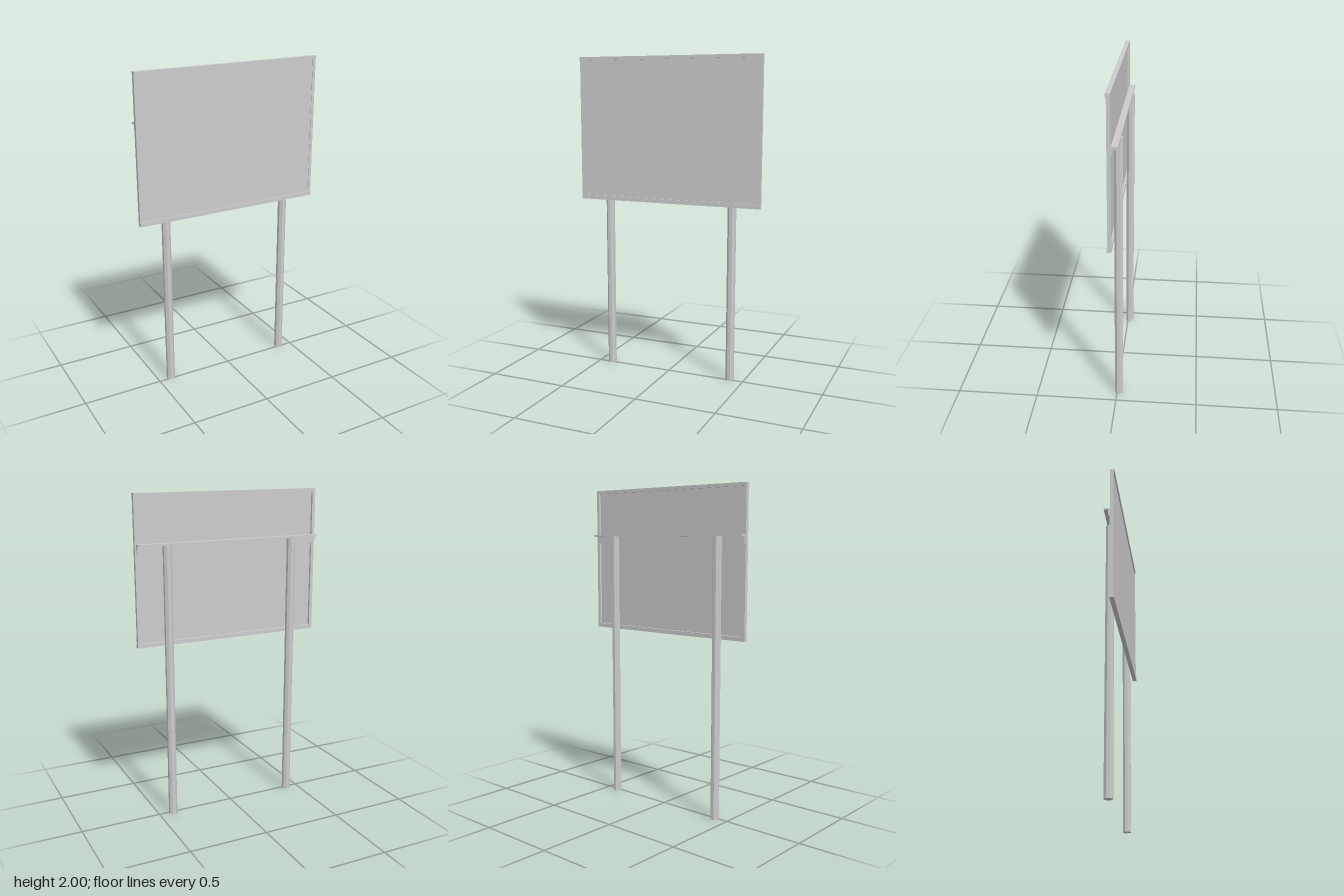
import * as THREE from 'three';

const material = new THREE.MeshStandardMaterial({ color: 0xcccccc, flatShading: true });

// Box given by its [min, max] extents on each axis
function block(name, [x0, x1], [y0, y1], [z0, z1]) {
  const mesh = new THREE.Mesh(new THREE.BoxGeometry(x1 - x0, y1 - y0, z1 - z0), material);
  mesh.position.set((x0 + x1) / 2, (y0 + y1) / 2, (z0 + z1) / 2);
  mesh.name = name;
  return mesh;
}

export function createModel() {
  const model = new THREE.Group();
  model.name = 'signboard';

  // Board: thin panel inside a shallow frame, open at the back
  const board = new THREE.Group();
  board.name = 'board';
  board.add(block('panel', [-0.59, 0.59], [1.11, 1.99], [0.024, 0.029]));
  for (const s of [-1, 1]) {
    const side = block('frameSide', [-0.01, 0.01], [1.11, 1.99], [0.01, 0.032]);
    side.position.x = s * 0.59;
    board.add(side);
  }
  board.add(block('frameTop', [-0.6, 0.6], [1.98, 2], [0.01, 0.037]));
  board.add(block('frameBottom', [-0.6, 0.6], [1.1, 1.125], [0.01, 0.037]));
  model.add(board);

  // Stand: two octagonal posts carrying an angle rail, slightly off centre
  const stand = new THREE.Group();
  stand.name = 'stand';
  stand.position.x = -0.003;
  const postHeight = 1.705;
  const postRadius = 0.0245 / Math.cos(Math.PI / 8);
  const postGeometry = new THREE.CylinderGeometry(postRadius, postRadius, postHeight, 8)
    .rotateY(Math.PI / 8);
  for (const s of [-1, 1]) {
    const post = new THREE.Mesh(postGeometry, material);
    post.name = 'post';
    post.position.set(s * 0.414, postHeight / 2, -0.0125);
    stand.add(post);
  }
  stand.add(block('railShelf', [-0.594, 0.594], [1.702, 1.714], [-0.027, 0.01]));
  stand.add(block('railFlange', [-0.594, 0.594], [1.66, 1.702], [0, 0.01]));
  model.add(stand);

  return model;
}
